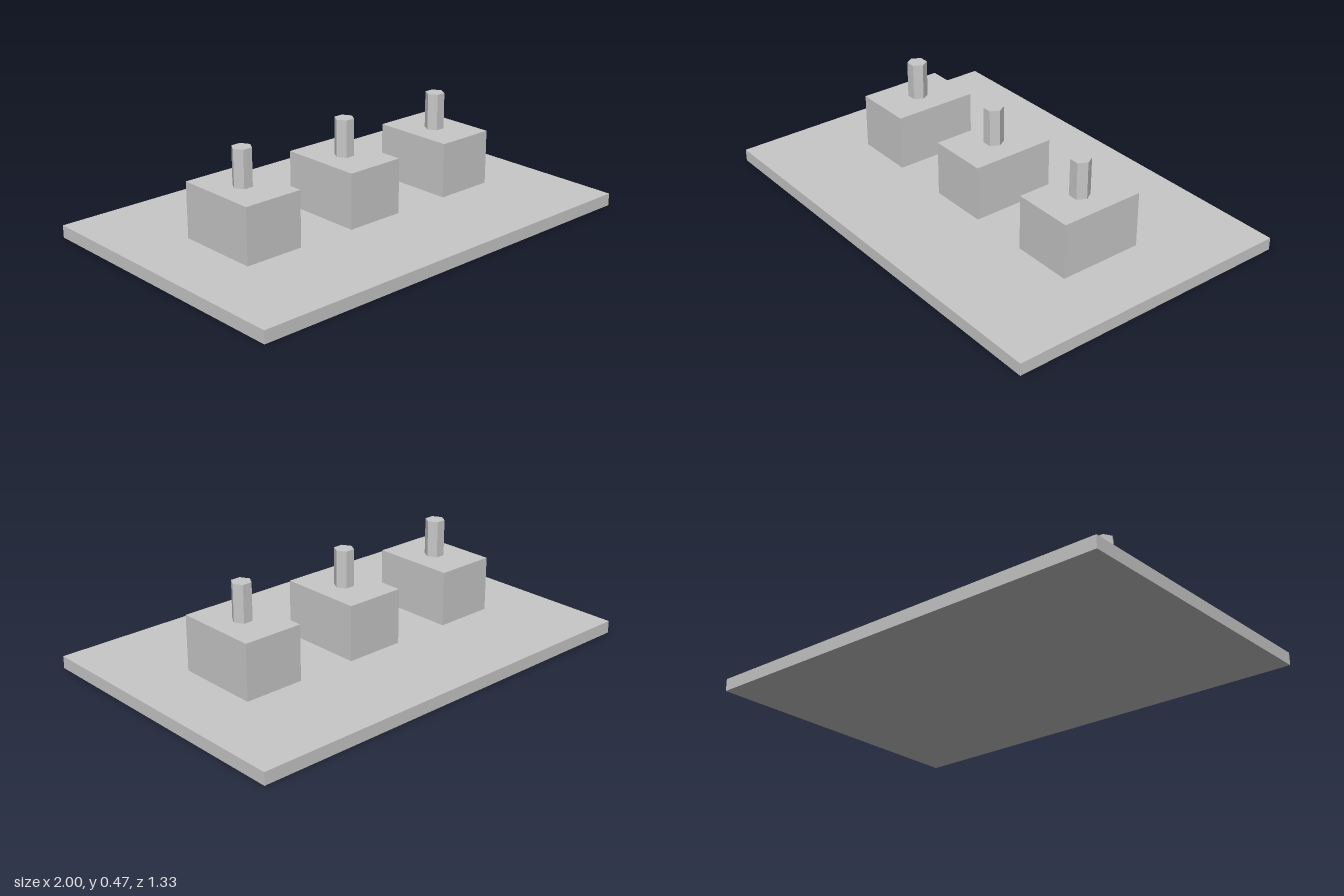
import * as THREE from 'three';

export function createModel() {
  const model = new THREE.Group();
  const grey = new THREE.MeshStandardMaterial({ color: 0xc8c8c8 });
  grey.name = 'lightGrey';
  grey.flatShading = true;

  const plateTop = 0.056, blockTop = 0.306, pinTop = 0.473;

  // Adds a part standing between two heights
  function add(name, geometry, x, bottom, top) {
    const mesh = new THREE.Mesh(geometry, grey);
    mesh.name = name;
    mesh.position.set(x, (bottom + top) / 2, 0);
    model.add(mesh);
  }

  // Base plate
  add('basePlate', new THREE.BoxGeometry(2, plateTop, 1.333), 0, 0, plateTop);

  // Three blocks in a row, each with a hexagonal pin
  const block = new THREE.BoxGeometry(0.278, blockTop - plateTop, 0.389);
  const pin = new THREE.CylinderGeometry(0.044, 0.044, pinTop - blockTop, 6);
  pin.rotateY(Math.PI / 6); // corners point along x
  ['right', 'middle', 'left'].forEach((side, i) => {
    const x = (i - 1) * 0.556;
    add(side + 'Block', block, x, plateTop, blockTop);
    add(side + 'Pin', pin, x, blockTop, pinTop);
  });

  return model;
}
